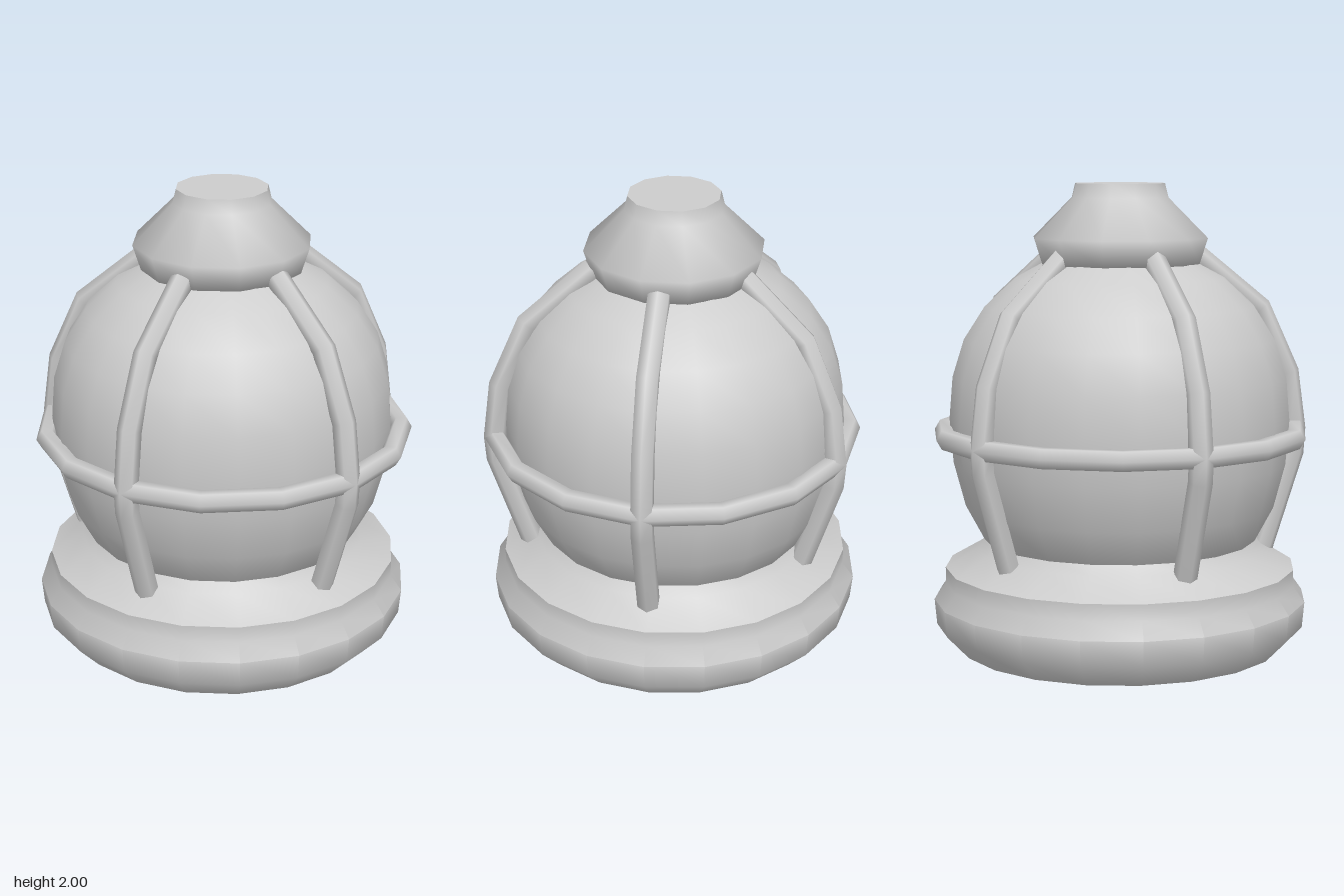
import * as THREE from 'three';
import { toCreasedNormals } from 'three/addons/utils/BufferGeometryUtils.js';

// Straight-segment path in the xy plane, framed so the tube's ridge faces outward
class RibPath extends THREE.Curve {
  constructor(points) {
    super();
    this.points = points.map(([x, y]) => new THREE.Vector3(x, y, 0));
  }
  getPoint(t, target = new THREE.Vector3()) {
    const n = this.points.length - 1;
    const s = THREE.MathUtils.clamp(t, 0, 1) * n;
    const i = Math.min(Math.floor(s), n - 1);
    return target.lerpVectors(this.points[i], this.points[i + 1], s - i);
  }
  getUtoTmapping(u) { return u; }
  computeFrenetFrames(segments) {
    const tangents = [], normals = [], binormals = [];
    for (let i = 0; i <= segments; i++) {
      const t = this.getTangent(i / segments);
      const n = new THREE.Vector3(-t.y, t.x, 0);
      tangents.push(t);
      normals.push(n);
      binormals.push(new THREE.Vector3().crossVectors(t, n));
    }
    return { tangents, normals, binormals };
  }
}

export function createModel() {
  const model = new THREE.Group();
  const grey = new THREE.MeshStandardMaterial({ color: 0xcccccc, side: THREE.DoubleSide });
  grey.name = 'plain grey';

  const add = (name, geometry, parent = model) => {
    const mesh = new THREE.Mesh(geometry, grey);
    mesh.name = name;
    parent.add(mesh);
    return mesh;
  };
  const turned = (profile, sides, crease) => toCreasedNormals(
    new THREE.LatheGeometry(profile.map(([r, y]) => new THREE.Vector2(r, y)), sides), crease);

  // Mounting base with a rounded foot and a stepped shoulder
  add('base', turned([[0, 0], [0.705, 0], [0.8, 0.1], [0.81, 0.21], [0.76, 0.28],
    [0.76, 0.35], [0.62, 0.43], [0.585, 0.48], [0.5, 0.49]], 20, 0.75)).position.x = -0.01;

  // Glass globe
  const globe = [[0.5, 0.38], [0.59, 0.47], [0.67, 0.62], [0.72, 0.81], [0.735, 1.0],
    [0.72, 1.18], [0.67, 1.34], [0.58, 1.48], [0.45, 1.6], [0.3, 1.68]];
  add('globe', new THREE.LatheGeometry(globe.map(([r, y]) => new THREE.Vector2(r, y)), 20))
    .position.x = -0.01;

  // Cap with a short neck
  add('cap', turned([[0.25, 1.64], [0.345, 1.66], [0.38, 1.77], [0.21, 1.94],
    [0.195, 2], [0, 2]], 12, 1.2)).position.x = -0.01;

  // Five guard ribs
  const ribPath = new RibPath([[0.33, 1.69], [0.61, 1.46], [0.735, 1.18], [0.768, 0.93],
    [0.762, 0.83], [0.63, 0.41]]);
  const ribGeometry = new THREE.TubeGeometry(ribPath, 5, 0.05, 6, false);
  const ribs = new THREE.Group();
  ribs.name = 'guardRibs';
  for (let i = 0; i < 5; i++) {
    add('guardRib', ribGeometry, ribs).rotation.y = (i * Math.PI * 2) / 5;
  }
  model.add(ribs);

  // Guard ring around the middle
  const ring = add('guardRing', new THREE.TorusGeometry(0.77, 0.046, 6, 15));
  ring.rotation.x = Math.PI / 2;
  ring.position.y = 0.93;

  return model;
}
